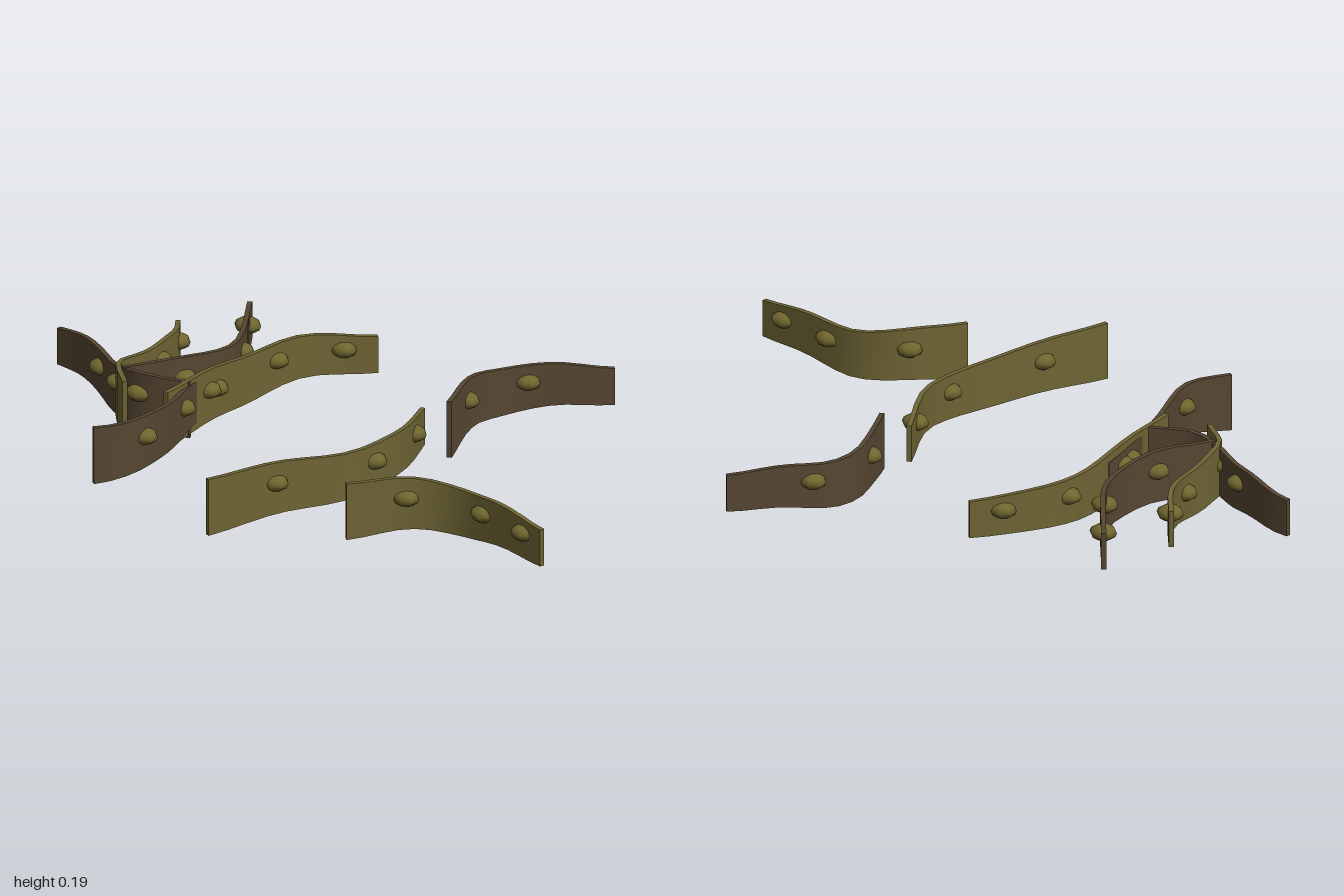
import * as THREE from 'three';

const THICKNESS = 0.016;

// Floats sit at these fractions of a strand's length, the broad end first.
const FLOAT_SPOTS = [0.25, 0.62, 0.88];

// Ground plan of each strand as x, z pairs, from its broad end to its narrow end.
const STRANDS = [
  { colour: 'brown', floats: 2, path: [-0.43, 0.01, -0.59, 0.005, -0.69, -0.055, -0.79, -0.17, -0.93, -0.3, -0.995, -0.335] },
  { colour: 'olive', floats: 3, path: [-0.62, 0.08, -0.69, -0.05, -0.68, -0.13, -0.645, -0.28, -0.635, -0.4, -0.67, -0.52] },
  { colour: 'brown', floats: 3, path: [-0.67, -0.03, -0.5, -0.19, -0.43, -0.35, -0.435, -0.46, -0.515, -0.74] },
  { colour: 'olive', floats: 3, path: [-0.47, 0.12, -0.385, -0.18, -0.3, -0.42, -0.23, -0.51, -0.045, -0.62] },
  { colour: 'brown', floats: 3, path: [-0.58, 0.465, -0.51, 0.41, -0.465, 0.335, -0.44, 0.1, -0.435, 0, -0.375, -0.22] },
  { colour: 'brown', floats: 2, path: [0.38, -0.12, 0.37, -0.3, 0.38, -0.39, 0.42, -0.46, 0.48, -0.515, 0.735, -0.635] },
  { colour: 'olive', floats: 3, path: [-0.1, 0.735, 0.055, 0.535, 0.22, 0.34, 0.275, 0.235, 0.31, 0.11, 0.292, -0.12] },
  { colour: 'olive', floats: 3, path: [0.315, 0.615, 0.48, 0.51, 0.56, 0.488, 0.65, 0.495, 0.73, 0.53, 0.99, 0.68] },
];

function groundCurve(path) {
  const points = [];
  for (let i = 0; i < path.length; i += 2) points.push(new THREE.Vector3(path[i], 0, path[i + 1]));
  return new THREE.CatmullRomCurve3(points);
}

// The ribbon's centre line rises and falls twice along its length.
const middleHeight = (t) => 0.109 + 0.012 * Math.sin(2 * Math.PI * t) ** 2;

// A thin upright ribbon: a segmented box bent along the curve, wavy and tapering.
function ribbonGeometry(curve) {
  const geometry = new THREE.BoxGeometry(1, 1, 1, 14, 1, 1);
  const pos = geometry.attributes.position;
  const up = new THREE.Vector3(0, 1, 0);
  for (let i = 0; i < pos.count; i++) {
    const t = THREE.MathUtils.clamp(pos.getX(i) + 0.5, 0, 1);
    const point = curve.getPointAt(t);
    const side = curve.getTangentAt(t).cross(up).normalize();
    const height = THREE.MathUtils.lerp(0.188, 0.122, t);
    point.addScaledVector(side, pos.getZ(i) * THICKNESS);
    pos.setXYZ(i, point.x, middleHeight(t) + pos.getY(i) * height, point.z);
  }
  geometry.computeVertexNormals();
  return geometry;
}

export function createModel() {
  const model = new THREE.Group();
  model.name = 'seaweedStrands';

  const materials = {
    olive: new THREE.MeshStandardMaterial({ color: 0x6e6434 }),
    brown: new THREE.MeshStandardMaterial({ color: 0x564632 }),
    float: new THREE.MeshStandardMaterial({ color: 0x70662f }),
  };
  materials.olive.name = 'oliveWeed';
  materials.brown.name = 'brownWeed';
  materials.float.name = 'floatOlive';

  const floatGeometry = new THREE.SphereGeometry(1, 8, 6);
  floatGeometry.scale(0.044, 0.027, 0.037);

  STRANDS.forEach(({ colour, floats, path }, i) => {
    const strand = new THREE.Group();
    strand.name = `strand${i + 1}`;
    const curve = groundCurve(path);

    const ribbon = new THREE.Mesh(ribbonGeometry(curve), materials[colour]);
    ribbon.name = 'ribbon';
    strand.add(ribbon);

    // Air bladders set into the ribbon
    for (const t of FLOAT_SPOTS.slice(0, floats)) {
      const bladder = new THREE.Mesh(floatGeometry, materials.float);
      bladder.name = 'float';
      bladder.position.copy(curve.getPointAt(t)).setY(middleHeight(t) + 0.017);
      strand.add(bladder);
    }
    model.add(strand);
  });

  return model;
}
